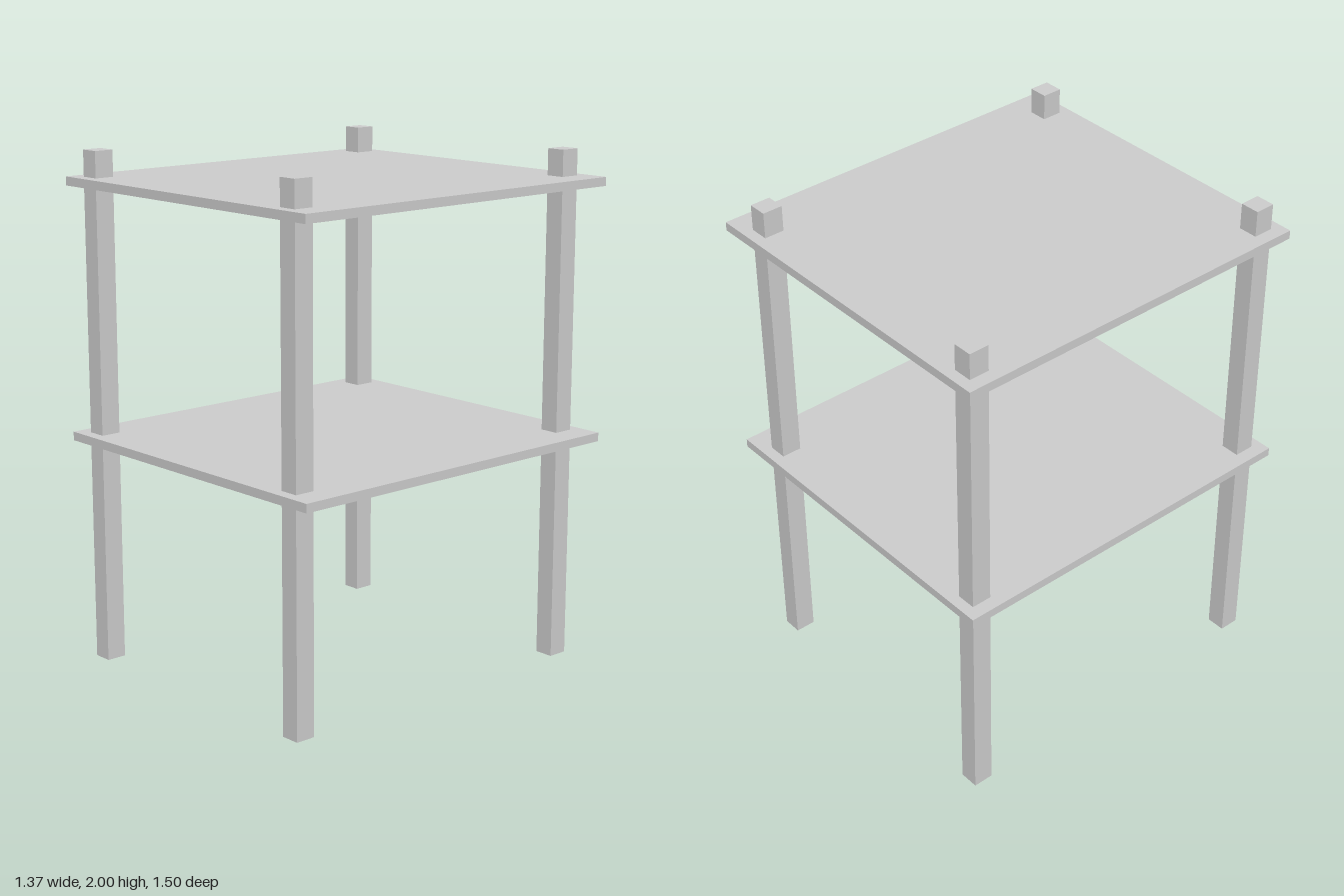
import * as THREE from 'three';

export function createModel() {
  const group = new THREE.Group();
  const material = new THREE.MeshStandardMaterial({ color: 0xcccccc, flatShading: true });

  function addBox(name, size, position) {
    const mesh = new THREE.Mesh(new THREE.BoxGeometry(...size), material);
    mesh.name = name;
    mesh.position.set(...position);
    group.add(mesh);
  }

  // Four square posts, set slightly towards -x
  for (const [side, x] of [['Right', -0.593], ['Left', 0.54]]) {
    for (const [end, z] of [['front', 0.664], ['back', -0.664]]) {
      addBox(`${end}${side}Post`, [0.076, 2, 0.08], [x, 1, z]);
    }
  }

  // Two thin shelves that the posts pass through
  addBox('lowerShelf', [1.367, 0.034, 1.497], [0, 0.893, 0]);
  addBox('upperShelf', [1.367, 0.034, 1.497], [0, 1.881, 0]);

  return group;
}
